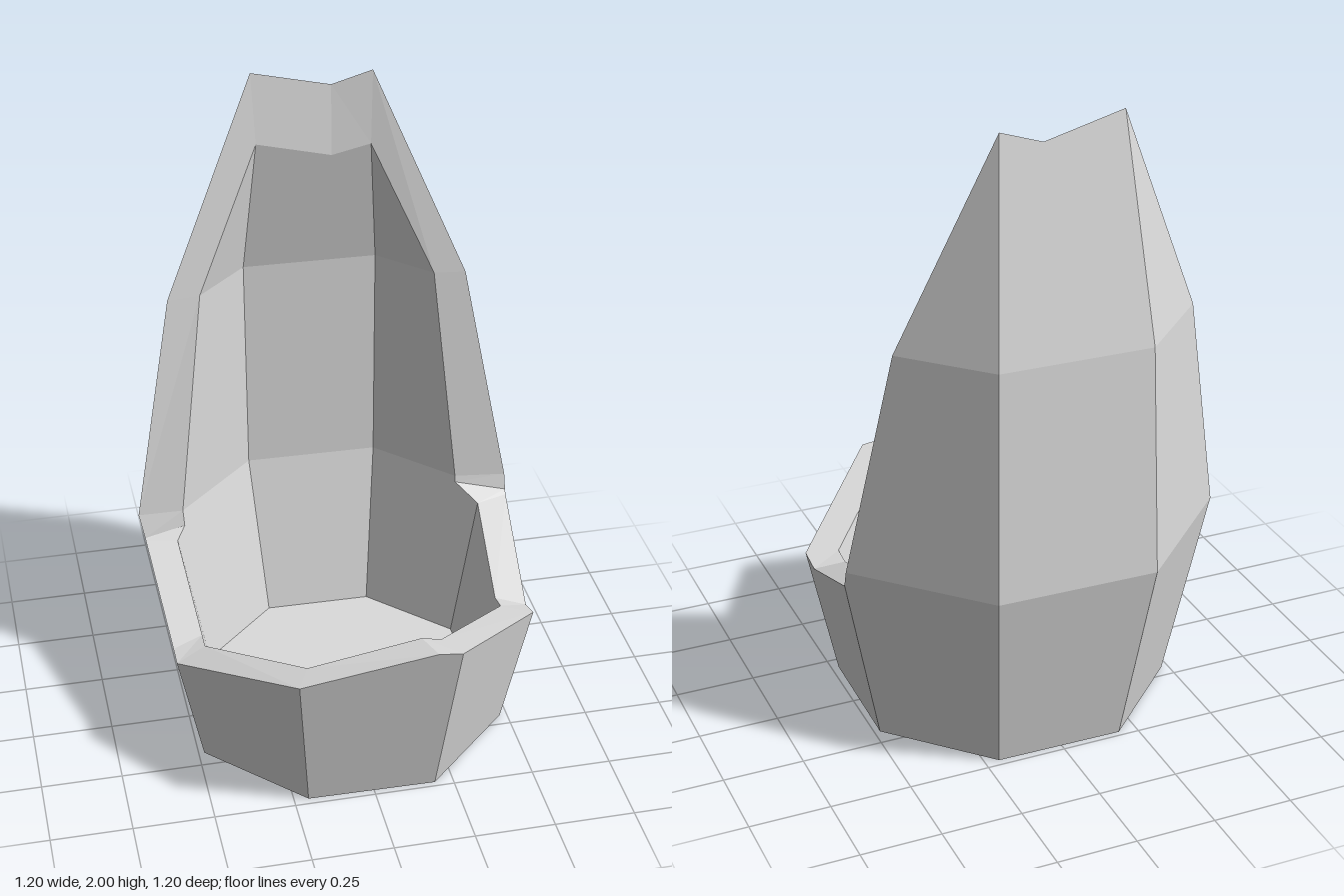
import * as THREE from 'three';

const stone = new THREE.MeshStandardMaterial({ color: 0xdbdbdb, flatShading: true, side: THREE.DoubleSide });
stone.name = 'pale grey';

// wall profiles: [height, corner radius] of the octagon
const outerProfile = [[0, 0.519], [0.62, 0.653], [1.33, 0.617], [2, 0.485]];
const innerProfile = [[0.09, 0.437], [0.62, 0.545], [1.33, 0.55], [1.78, 0.46]];

// broken rim: [corner number (fractions lie along a side), height]
const outerRim = [[0, 0.42], [1, 0.57], [1.15, 0.58], [2, 0.505], [3, 0.385], [3.15, 0.39],
  [3.96, 0.54], [3.97, 0.545], [4, 0.62], [4.29, 1.33], [5, 2], [5.66, 1.94], [6, 1.98],
  [6.68, 1.33], [6.97, 0.62], [7, 0.57], [7.03, 0.56], [7.85, 0.4], [8, 0.42]];
const innerRim = [[0, 0.43], [1, 0.555], [1.15, 0.57], [2, 0.5], [3, 0.41], [3.15, 0.41],
  [4, 0.54], [4.12, 0.57], [4.14, 0.62], [4.46, 1.33], [5, 1.78], [5.66, 1.72], [6, 1.75],
  [6.52, 1.33], [6.76, 0.62], [6.77, 0.6], [7, 0.555], [7.85, 0.42], [8, 0.43]];

function radiusAt(profile, y) {
  let k = 0;
  while (k < profile.length - 2 && y > profile[k + 1][0]) k++;
  const [y0, r0] = profile[k], [y1, r1] = profile[k + 1];
  return r0 + (r1 - r0) * (y - y0) / (y1 - y0);
}

// point on the octagonal wall
function wallPoint(profile, u, y) {
  const r = radiusAt(profile, y), k = Math.floor(u);
  const corner = (i) => {
    const a = THREE.MathUtils.degToRad(23.3 + 45 * i);
    return new THREE.Vector3(r * Math.cos(a), y, r * Math.sin(a));
  };
  return corner(k).lerp(corner(k + 1), u - k);
}

// mesh from a list of quads (four points) and triangles (three points)
function facesMesh(name, faces) {
  const pos = [];
  for (const [a, b, c, d] of faces) {
    for (const p of d ? [a, b, c, a, c, d] : [a, b, c]) pos.push(p.x, p.y, p.z);
  }
  const geometry = new THREE.BufferGeometry();
  geometry.setAttribute('position', new THREE.Float32BufferAttribute(pos, 3));
  geometry.computeVertexNormals();
  const mesh = new THREE.Mesh(geometry, stone);
  mesh.name = name;
  return mesh;
}

// wall columns from the bottom ring up to the broken rim
function wall(name, profile, rim, inward) {
  const faces = [];
  for (let i = 0; i < rim.length - 1; i++) {
    const [u0, h0] = rim[i], [u1, h1] = rim[i + 1];
    for (let k = 0; k < 3; k++) {
      const low = profile[k][0], high = k < 2 ? profile[k + 1][0] : 9;
      if (Math.max(h0, h1) <= low) break;
      const at = (u, h, level) => wallPoint(profile, u, Math.min(h, level));
      const b0 = at(u0, h0, low), b1 = at(u1, h1, low);
      const t0 = at(u0, h0, high), t1 = at(u1, h1, high);
      let face = [b1, b0, t0, t1];
      if (h0 <= low) face = [b1, b0, t1];
      else if (h1 <= low) face = [b1, b0, t0];
      faces.push(inward ? face.reverse() : face);
    }
  }
  return facesMesh(name, faces);
}

export function createModel() {
  const group = new THREE.Group();
  group.name = 'brokenShell';

  // the outer wall stays open at the bottom
  group.add(wall('outerWall', outerProfile, outerRim, false));
  group.add(wall('innerWall', innerProfile, innerRim, true));

  // broken edge joining both walls
  const edge = [];
  for (let i = 0; i < outerRim.length - 1; i++) {
    const o = [0, 1].map((j) => wallPoint(outerProfile, ...outerRim[i + j]));
    const n = [0, 1].map((j) => wallPoint(innerProfile, ...innerRim[i + j]));
    edge.push([o[0], n[0], n[1], o[1]]);
  }
  group.add(facesMesh('brokenEdge', edge));

  // raised floor inside the shell
  const floor = [];
  const centre = new THREE.Vector3(0, 0.09, 0);
  for (let i = 0; i < 8; i++) {
    floor.push([centre, wallPoint(innerProfile, i + 1, 0.09), wallPoint(innerProfile, i, 0.09)]);
  }
  group.add(facesMesh('floor', floor));
  return group;
}
